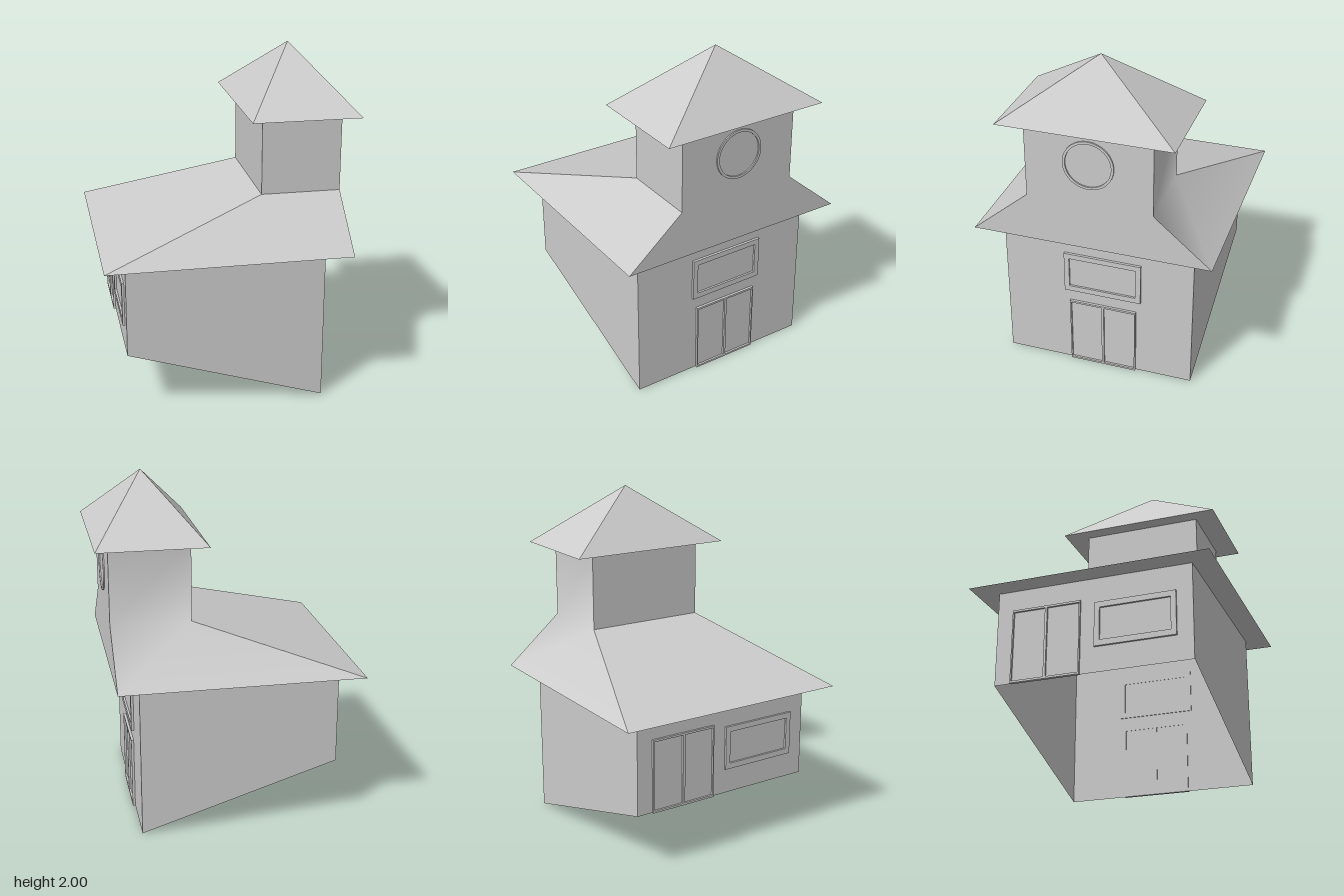
import * as THREE from 'three';

const material = new THREE.MeshStandardMaterial({ color: 0xcccccc, side: THREE.DoubleSide });

function add(group, name, geometry) {
  const mesh = new THREE.Mesh(geometry, material);
  mesh.name = name;
  group.add(mesh);
  return mesh;
}

// Flat-shaded surface from polygons listed counter-clockwise
function polygons(list) {
  const pos = [];
  for (const p of list)
    for (let i = 1; i < p.length - 1; i++) pos.push(...p[0], ...p[i], ...p[i + 1]);
  const g = new THREE.BufferGeometry();
  g.setAttribute('position', new THREE.Float32BufferAttribute(pos, 3));
  g.computeVertexNormals();
  return g;
}

// Four corners of a rectangle in plan: [+x+z, +x-z, -x-z, -x+z]
function ring(x0, x1, z, y, yLeft = y) {
  return [[x1, y, z], [x1, y, -z], [x0, yLeft, -z], [x0, yLeft, z]];
}

// One side between two rings
function side(a, b, i) {
  const j = (i + 1) % 4;
  return [a[i], a[j], b[j], b[i]];
}

function rectPath(path, x0, y0, x1, y1) {
  path.moveTo(x0, y0);
  path.lineTo(x1, y0);
  path.lineTo(x1, y1);
  path.lineTo(x0, y1);
  path.closePath();
  return path;
}

// Rectangular frame with holes, centred on x = 0 and standing on y = 0
function frame(w, h, holes) {
  const shape = rectPath(new THREE.Shape(), -w / 2, 0, w / 2, h);
  for (const r of holes) shape.holes.push(rectPath(new THREE.Path(), ...r));
  return new THREE.ExtrudeGeometry(shape, { depth: 0.02, bevelEnabled: false });
}

// Frame plus a thin pane, turned to face +x (dir 1) or -x (dir -1)
function opening(group, name, w, h, holes, x, y, z, dir) {
  const part = new THREE.Group();
  part.name = name;
  add(part, name + 'Frame', frame(w, h, holes)).position.z = -0.005;
  add(part, name + 'Pane', new THREE.BoxGeometry(w - 0.01, h - 0.01, 0.006)).position.y = h / 2;
  part.position.set(x, y, z);
  part.rotation.y = dir * Math.PI / 2;
  group.add(part);
}

export function createModel() {
  const group = new THREE.Group();
  group.name = 'towerHouse';

  // Walls, open below, cut to a sloping ground line
  const foot = ring(-0.615, 0.525, 0.57, 0, 0.36);
  const head = ring(-0.615, 0.525, 0.57, 0.915);
  add(group, 'walls', polygons([0, 1, 2, 3].map(i => side(foot, head, i))));

  // Main roof rising into the tower
  const eave = ring(-0.74, 0.655, 0.7, 0.915);
  const neck = ring(0.195, 0.655, 0.365, 1.2);
  const top = ring(0.195, 0.655, 0.365, 1.655);
  add(group, 'mainRoof', polygons([...[0, 2, 3].map(i => side(eave, neck, i)), [...eave].reverse()]));
  add(group, 'tower', polygons([0, 2, 3].map(i => side(neck, top, i))));

  // Rear side of roof and tower, softly blended into one surface
  const rear = new THREE.BufferGeometry();
  const pts = [eave[1], eave[2], neck[1], neck[2], top[1], top[2]].flat();
  rear.setAttribute('position', new THREE.Float32BufferAttribute(pts, 3));
  rear.setIndex([0, 1, 3, 0, 3, 2, 2, 3, 5, 2, 5, 4]);
  rear.computeVertexNormals();
  add(group, 'rearRoofAndTower', rear);

  // Pyramid roof on the tower
  const cap = ring(0.11, 0.735, 0.5, 1.655);
  const apex = [0.4225, 2, 0];
  add(group, 'towerRoof', polygons([
    ...cap.map((p, i) => [p, cap[(i + 1) % 4], apex]),
    [...cap].reverse(),
  ]));

  // Double doors and wide windows on both ends
  const doorHoles = [[-0.195, 0.012, -0.007, 0.42], [0.007, 0.012, 0.195, 0.42]];
  const windowHoles = [[-0.202, 0.034, 0.202, 0.225]];
  opening(group, 'frontDoor', 0.405, 0.432, doorHoles, 0.525, 0, -0.028, 1);
  opening(group, 'frontWindow', 0.465, 0.258, windowHoles, 0.525, 0.507, -0.028, 1);
  opening(group, 'backDoor', 0.405, 0.432, doorHoles, -0.613, 0.36, -0.272, -1);
  opening(group, 'backWindow', 0.465, 0.258, windowHoles, -0.613, 0.507, 0.246, -1);

  // Round tower window
  const disc = new THREE.Shape().absarc(0, 0, 0.146, 0, Math.PI * 2);
  disc.holes.push(new THREE.Path().absarc(0, 0, 0.131, 0, Math.PI * 2, true));
  const round = add(group, 'roundWindowFrame',
    new THREE.ExtrudeGeometry(disc, { depth: 0.01, bevelEnabled: false, curveSegments: 24 }));
  round.position.set(0.653, 1.45, 0);
  round.rotation.y = Math.PI / 2;

  return group;
}
